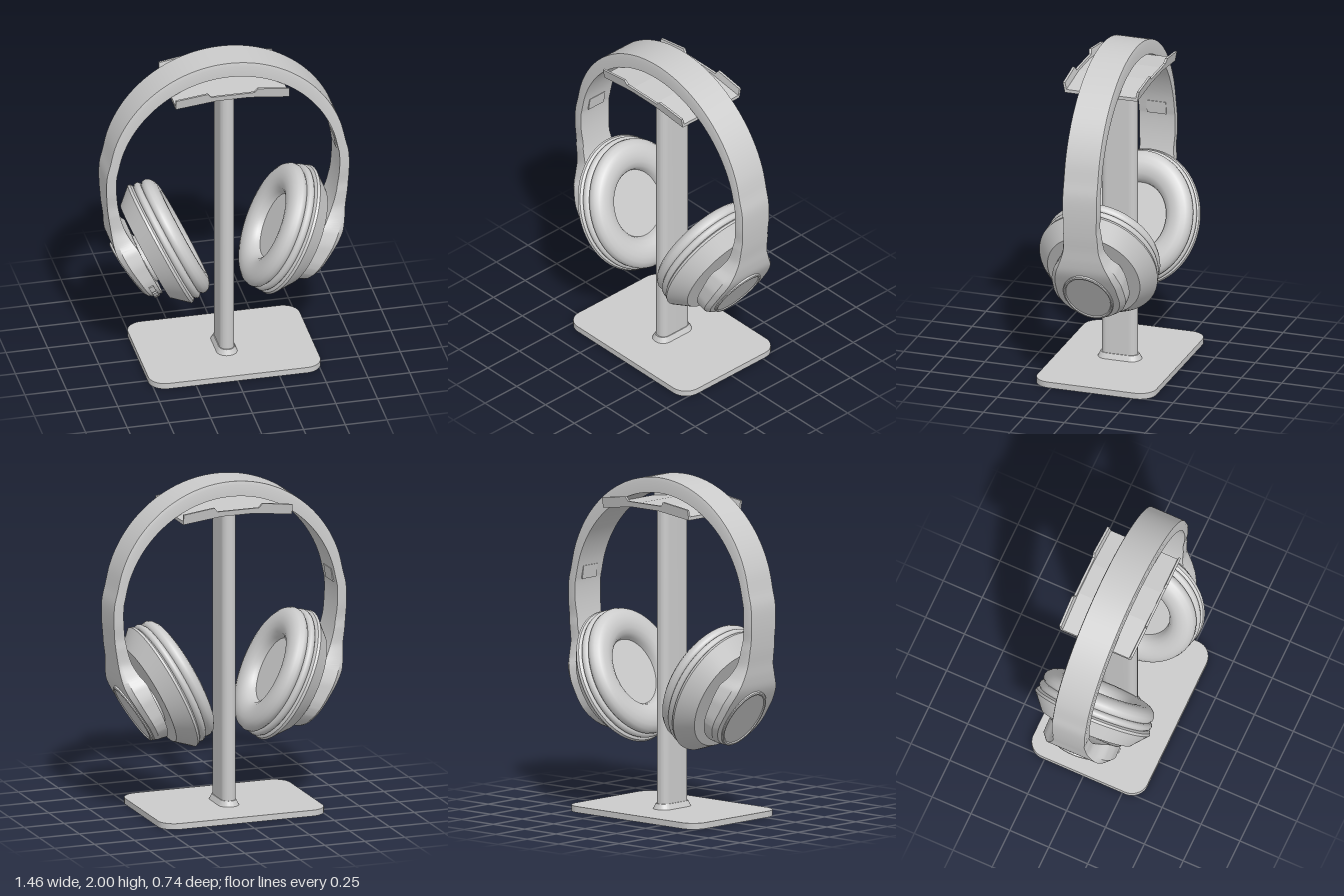
import * as THREE from 'three';
import { toCreasedNormals } from 'three/addons/utils/BufferGeometryUtils.js';

const material = new THREE.MeshStandardMaterial({ color: 0xcccccc, side: THREE.DoubleSide });

function part(parent, name, geometry, crease = 0.55) {
  const mesh = new THREE.Mesh(toCreasedNormals(geometry, crease), material);
  mesh.name = name;
  parent.add(mesh);
  return mesh;
}

// Upright slab with rounded corners; the top outline shrinks by `inset`
function slab(w, d, r, y0, y1, inset = 0) {
  const x = w / 2, z = d / 2, s = new THREE.Shape();
  s.absarc(x - r, z - r, r, 0, Math.PI / 2);
  s.absarc(-x + r, z - r, r, Math.PI / 2, Math.PI);
  s.absarc(-x + r, -z + r, r, Math.PI, Math.PI * 1.5);
  s.absarc(x - r, -z + r, r, Math.PI * 1.5, Math.PI * 2);
  const g = new THREE.ExtrudeGeometry(s, { depth: y1 - y0, bevelEnabled: false, curveSegments: 12 });
  g.rotateX(-Math.PI / 2).translate(0, y0, 0);
  const p = g.attributes.position;
  for (let i = 0; i < p.count; i++) {
    if (p.getY(i) > (y0 + y1) / 2) {
      p.setX(i, p.getX(i) * (1 - 2 * inset / w));
      p.setZ(i, p.getZ(i) * (1 - 2 * inset / d));
    }
  }
  return g;
}

// Outline in the front plane, extruded in z
function plate(points, z0, depth) {
  const shape = new THREE.Shape(points.map(([x, y]) => new THREE.Vector2(x, y)));
  return new THREE.ExtrudeGeometry(shape, { depth, bevelEnabled: false }).translate(0, 0, z0);
}

// Ear cup frame: u runs inward along the cup axis, v up along its face
const TILT = 0.445, S = Math.sin(TILT), C = Math.cos(TILT);
const uv = (u, v) => [-C * u + S * v, S * u + C * v];

// Headband and yokes in one loft; each section is outer xy, inner xy, half width, taper
function bandGeometry() {
  const half = [];
  const R = 0.22, V = 0.81;
  const outerU = v => -0.215 - 0.125 * (v - 0.59);
  for (let i = 0; i <= 6; i++) { // round lower end of the yoke
    const a = i / 6 * Math.PI / 2, v = V - R * Math.cos(a);
    half.push([...uv(outerU(v), V - 0.2 * Math.cos(a)), ...uv(-0.14, v), R * Math.sin(a), 0.86]);
  }
  half.push([...uv(outerU(0.92), 0.92), ...uv(-0.14, 0.91), 0.216, 0.86]);
  half.push([...uv(-0.262, 1.02), ...uv(-0.135, 1.0), 0.188, 0.87]);
  half.push([0.693, 0.88, 0.585, 0.89, 0.148, 0.9], [0.703, 0.96, 0.622, 0.96, 0.117, 0.93]);
  half.push([0.717, 1.06, 0.65, 1.06, 0.11, 0.95], [0.727, 1.2, 0.668, 1.2, 0.11, 0.95]);
  half.push([0.724, 1.31, 0.667, 1.31, 0.11, 0.95]);
  for (let i = 0; i < 8; i++) { // upper arch
    const a = 0.15 + i / 8 * (Math.PI / 2 - 0.15);
    half.push([0.713 * Math.cos(a), 1.287 + 0.713 * Math.sin(a),
      0.668 * Math.cos(a), 1.242 + 0.668 * Math.sin(a), 0.11, 0.95]);
  }
  const mirrored = half.map(([a, b, c, d, w, t]) => [-a, b, -c, d, w, t]).reverse();
  const all = [...half, [0, 2, 0, 1.91, 0.11, 0.95], ...mirrored];
  const curve = f => new THREE.CatmullRomCurve3(all.map(f));
  const outer = curve(s => new THREE.Vector3(s[0], s[1], 0));
  const inner = curve(s => new THREE.Vector3(s[2], s[3], 0));
  const width = curve(s => new THREE.Vector3(s[4], s[5], 0));
  const pos = [], index = [], n = (all.length - 1) * 5;
  for (let i = 0; i <= n; i++) {
    const o = outer.getPoint(i / n), p = inner.getPoint(i / n), k = width.getPoint(i / n);
    const m = p.clone().lerp(o, 0.75), w = Math.max(k.x, 0), e = w * k.y;
    for (const [q, z] of [[p, -w], [p, w], [m, w], [o, e], [o, -e], [m, -w]]) pos.push(q.x, q.y, z);
    for (let j = 0; j < 6 && i < n; j++) {
      const a = i * 6 + j, b = i * 6 + (j + 1) % 6;
      index.push(a, b, b + 6, a, b + 6, a + 6);
    }
  }
  const g = new THREE.BufferGeometry();
  g.setAttribute('position', new THREE.Float32BufferAttribute(pos, 3));
  g.setIndex(index);
  return g;
}

// Oval turned part whose profile is [radius, outward height]
function turned(profile, squash) {
  const g = new THREE.LatheGeometry(profile.map(([r, y]) => new THREE.Vector2(r, y)), 72);
  return g.scale(1, 1, squash);
}

function earCup(name) {
  const side = new THREE.Group();
  side.name = name;
  const cup = new THREE.Group();
  cup.name = 'cup';
  const [cx, cy] = uv(0, 0.858);
  cup.position.set(cx, cy, 0);
  cup.rotation.z = -Math.PI / 2 - TILT;
  side.add(cup);

  part(cup, 'earCushion', turned([[0, -0.065], [0.2, -0.065], [0.206, -0.09], [0.222, -0.114], [0.25, -0.131],
    [0.285, -0.139], [0.32, -0.138], [0.352, -0.128], [0.376, -0.11], [0.387, -0.088], [0.385, -0.068],
    [0.372, -0.054], [0.36, -0.05]], 0.89), 0.8);
  part(cup, 'trimRing', turned([[0.36, -0.054], [0.38, -0.052], [0.392, -0.042], [0.396, -0.03],
    [0.392, -0.018], [0.38, -0.008], [0.36, -0.006]], 0.89), 0.8);
  part(cup, 'cupShell', turned([[0.36, -0.01], [0.385, -0.008], [0.4, 0.002], [0.405, 0.018],
    [0.317, 0.113], [0, 0.113]], 0.89));
  const neck = part(cup, 'pivot', new THREE.CylinderGeometry(0.15, 0.15, 0.07, 48));
  neck.position.set(0.04, 0.135, 0);

  // Oval cap with raised rim on the yoke face
  const cap = part(side, 'yokeCap', turned([[0.2, -0.02], [0.2, 0.008], [0.194, 0.013], [0.184, 0.013],
    [0.178, 0.007], [0, 0.007]], 0.75), 0.4);
  const [px, py] = uv(-0.241, 0.81);
  cap.position.set(px, py, 0);
  cap.rotation.z = -Math.PI / 2 - TILT - 0.124;

  // Inset panel at the band's sliding joint
  const joint = part(side, 'sliderPanel', new THREE.BoxGeometry(0.012, 0.08, 0.12));
  joint.position.set(0.657, 1.36, 0);
  joint.rotation.z = 0.15;
  return side;
}

export function createModel() {
  const model = new THREE.Group();
  model.name = 'headphonesOnStand';

  const stand = new THREE.Group();
  stand.name = 'stand';
  model.add(stand);
  part(stand, 'base', slab(1.03, 0.735, 0.1, 0, 0.036));
  part(stand, 'post', slab(0.086, 0.22, 0.042, 0.03, 1.835));
  part(stand, 'lowerCollar', slab(0.125, 0.265, 0.06, 0.035, 0.068, 0.015));
  part(stand, 'upperCollar', slab(0.13, 0.26, 0.06, -1.832, -1.803, 0.018).rotateX(Math.PI));

  // Cradle: flat middle, drooping wings, notched lips front and back
  const under = [[-0.34, 1.8], [-0.1, 1.83], [0.1, 1.83], [0.34, 1.8]];
  part(stand, 'cradle', plate([...under, [0.34, 1.82], [0.1, 1.848], [-0.1, 1.848], [-0.34, 1.82]], -0.22, 0.44), 0.05);
  for (const turn of [0, Math.PI]) {
    const g = plate([...under, [0.34, 1.862], [0.15, 1.888], [0.13, 1.862], [-0.13, 1.862],
      [-0.15, 1.888], [-0.34, 1.862]], 0.212, 0.014);
    const p = g.attributes.position;
    for (let i = 0; i < p.count; i++) p.setZ(i, p.getZ(i) + 0.2 * (p.getY(i) - 1.81));
    part(stand, turn ? 'backLip' : 'frontLip', g).rotation.y = turn;
  }

  const headphones = new THREE.Group();
  headphones.name = 'headphones';
  model.add(headphones);
  part(headphones, 'headband', bandGeometry());
  const left = earCup('leftEarCup'), right = earCup('rightEarCup');
  right.rotation.y = Math.PI;
  headphones.add(left, right);

  // Control buttons along the front rim of the right yoke
  for (let i = 0; i < 4; i++) {
    const a = 0.35 + i * 0.3;
    const [x, y] = uv(-0.175, 0.81 - 0.218 * Math.cos(a));
    const button = part(headphones, 'controlButton', new THREE.BoxGeometry(0.03, 0.05, 0.014));
    button.position.set(-x, y, 0.218 * Math.sin(a));
    button.rotation.set(Math.PI / 2 - a, 0, TILT, 'ZXY');
  }
  return model;
}
